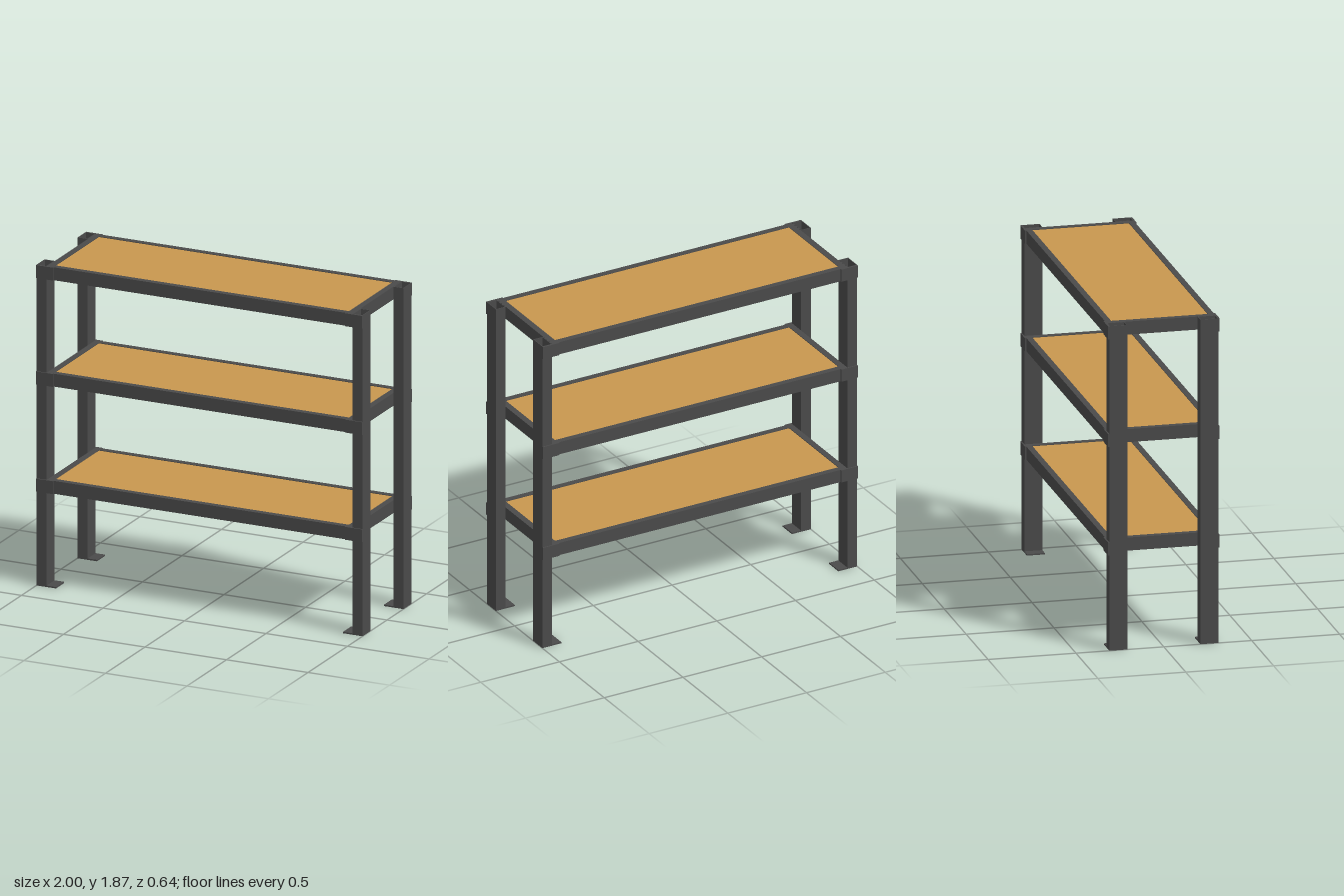
import * as THREE from 'three';

const steel = new THREE.MeshStandardMaterial({ color: 0x4a4a4a });
steel.name = 'dark steel';
const wood = new THREE.MeshStandardMaterial({ color: 0xc8974f });
wood.name = 'wood';
const lightGrey = new THREE.MeshStandardMaterial({ color: 0xc8c8c8 });
lightGrey.name = 'light grey';

const HEIGHT = 1.87;
const SHELF_TOPS = [0.625, 1.25, HEIGHT];
const RAIL = 0.075; // rail height

// Box given by its lower and upper limits on each axis
function box(name, material, [x0, x1], [y0, y1], [z0, z1]) {
  const mesh = new THREE.Mesh(new THREE.BoxGeometry(x1 - x0, y1 - y0, z1 - z0), material);
  mesh.position.set((x0 + x1) / 2, (y0 + y1) / 2, (z0 + z1) / 2);
  mesh.name = name;
  return mesh;
}

// Order a mirrored range
const span = (s, a, b) => (s > 0 ? [a, b] : [-b, -a]);

// Hollow rectangular post, standing upright
function postGeometry(w, d, h, wall) {
  const rect = (P, x, z) => new P([[-x, -z], [x, -z], [x, z], [-x, z]].map(([a, b]) => new THREE.Vector2(a, b)));
  const shape = rect(THREE.Shape, w / 2, d / 2);
  shape.holes.push(rect(THREE.Path, w / 2 - wall, d / 2 - wall));
  return new THREE.ExtrudeGeometry(shape, { depth: h, bevelEnabled: false }).rotateX(-Math.PI / 2);
}

function createShelf(top) {
  const shelf = new THREE.Group();
  shelf.name = 'shelf';
  const y = [top - RAIL, top];
  for (const s of [1, -1]) {
    shelf.add(box('longRail', steel, [-0.937, 0.937], y, span(s, 0.275, 0.31)));
    shelf.add(box('endRail', steel, span(s, 0.9, 0.937), y, [-0.275, 0.275]));
    // Joining plates over the post faces
    for (const t of [1, -1]) {
      shelf.add(box('cornerPlate', steel, span(s, 0.895, 1), y, span(t, 0.31, 0.318)));
    }
  }
  shelf.add(box('crossBar', steel, [-0.018, 0.018], [top - RAIL, top - 0.025], [-0.275, 0.275]));
  shelf.add(box('board', wood, [-0.9, 0.9], [top - 0.025, top - 0.003], [-0.275, 0.275]));
  return shelf;
}

export function createModel() {
  const model = new THREE.Group();
  model.name = 'shelvingRack';

  const geometry = postGeometry(0.062, 0.102, HEIGHT - 0.008, 0.004);
  for (const sx of [1, -1]) {
    for (const sz of [1, -1]) {
      const leg = new THREE.Group();
      leg.name = 'leg';
      const post = new THREE.Mesh(geometry, steel);
      post.name = 'post';
      post.position.set(sx * 0.969, 0.008, sz * 0.259);
      leg.add(post);
      leg.add(box('foot', steel, span(sx, 0.88, 1), [0, 0.008], span(sz, 0.208, 0.31)));
      // Pale plate at the bottom of the tube, absent in one corner
      if (sx > 0 || sz > 0) {
        leg.add(box('tubeFloor', lightGrey, span(sx, 0.942, 0.996), [0.008, 0.012], span(sz, 0.212, 0.306)));
      }
      model.add(leg);
    }
  }

  for (const top of SHELF_TOPS) model.add(createShelf(top));
  return model;
}
